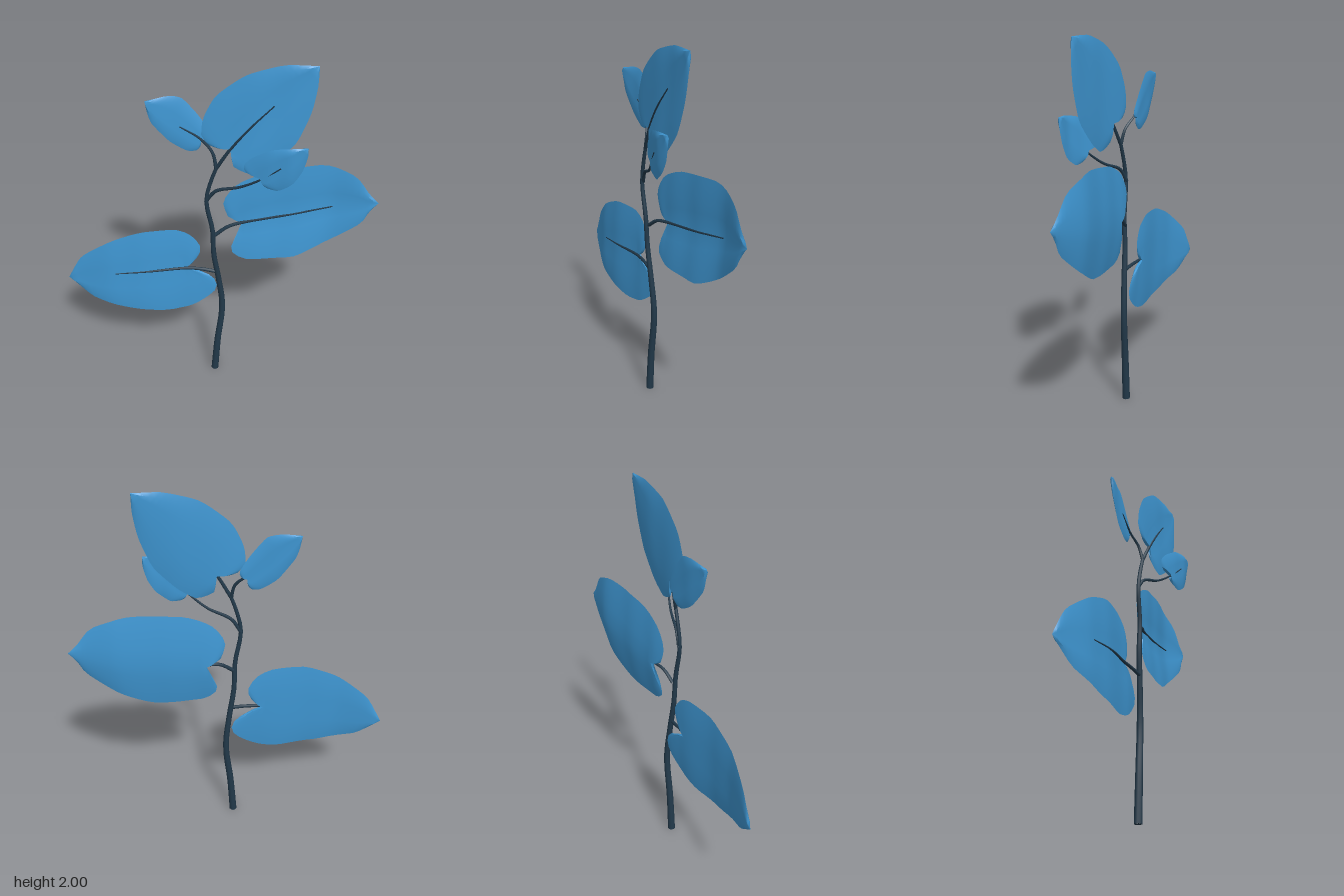
import * as THREE from 'three';
import { toCreasedNormals } from 'three/addons/utils/BufferGeometryUtils.js';

const V = (p) => new THREE.Vector3(p[0], p[1], p[2] || 0);

// Round stalk along a path, tapering from r0 to r1
function stalk(name, pts, r0, r1, material, sides = 8) {
  const curve = new THREE.CatmullRomCurve3(pts.map(V));
  const steps = 28;
  const geo = new THREE.TubeGeometry(curve, steps, 1, sides);
  const pos = geo.attributes.position, p = new THREE.Vector3();
  for (let i = 0; i <= steps; i++) {
    const c = curve.getPointAt(i / steps);
    const r = THREE.MathUtils.lerp(r0, r1, i / steps);
    for (let j = 0; j <= sides; j++) {
      const k = i * (sides + 1) + j;
      p.fromBufferAttribute(pos, k).sub(c).multiplyScalar(r).add(c);
      pos.setXYZ(k, p.x, p.y, p.z);
    }
  }
  const mesh = new THREE.Mesh(geo, material);
  mesh.name = name;
  return mesh;
}

// Piecewise-linear height of the leaf surface across x
function sampleZ(table, x) {
  if (x <= table[0][0]) return table[0][1];
  for (let i = 1; i < table.length; i++) {
    const [x0, z0] = table[i - 1], [x1, z1] = table[i];
    if (x <= x1) return THREE.MathUtils.lerp(z0, z1, THREE.MathUtils.smoothstep(x, x0, x1) * 0.5 + (x - x0) / (x1 - x0) * 0.5);
  }
  return table[table.length - 1][1];
}

// Heart-shaped blade: cross-sections from left edge over the midrib to right edge
function leaf(name, { notch, tip, left, right, z, fold }, material) {
  const rows = 26, half = 3, cols = 2 * half + 1, thick = 0.008;
  const N = V(notch), T = V(tip), axis = T.clone().sub(N);
  const edges = [left, right].map((side) =>
    new THREE.CatmullRomCurve3([notch, ...side, tip].map(V), false, 'catmullrom', 0.3).getSpacedPoints(rows));
  const along = (p) => p.clone().sub(N).dot(axis) / axis.lengthSq();
  const pos = [], index = [];
  for (const face of [1, -1]) {
    let t = 0;
    for (let i = 0; i <= rows; i++) {
      t = Math.max(t, Math.min(1, (along(edges[0][i]) + along(edges[1][i])) / 2));
      const rib = N.clone().addScaledVector(axis, t);
      for (let j = 0; j < cols; j++) {
        const s = j / half - 1, side = s < 0 ? 0 : 1;
        const p = rib.clone().lerp(edges[side][i], Math.abs(s));
        const rise = fold[side] * p.distanceTo(rib);
        const h = Math.abs(s) === 1 || i === 0 || i === rows ? 0 : thick;
        pos.push(p.x, p.y, sampleZ(z, p.x) + rise + face * h);
      }
    }
  }
  const back = (rows + 1) * cols;
  for (let i = 0; i < rows; i++) {
    for (let j = 0; j < cols - 1; j++) {
      const a = i * cols + j, b = a + 1, c = a + cols, d = c + 1;
      index.push(a, b, c, b, d, c);
      index.push(back + a, back + c, back + b, back + b, back + c, back + d);
    }
  }
  const geo = new THREE.BufferGeometry();
  geo.setAttribute('position', new THREE.Float32BufferAttribute(pos, 3));
  geo.setIndex(index);
  const mesh = new THREE.Mesh(toCreasedNormals(geo, 0.7), material);
  mesh.name = name;
  return mesh;
}

const LEAVES = {
  lowerRightLeaf: {
    notch: [-0.17, 0.77], tip: [-0.83, 0.65], fold: [0.06, -0.03],
    left: [[-0.07, 0.73], [-0.02, 0.69], [0, 0.62], [-0.05, 0.56], [-0.14, 0.5], [-0.27, 0.47], [-0.49, 0.49], [-0.69, 0.54], [-0.77, 0.6]],
    right: [[-0.12, 0.81], [-0.09, 0.88], [-0.1, 0.93], [-0.15, 0.99], [-0.23, 1.02], [-0.4, 1.01], [-0.57, 0.94], [-0.74, 0.81]],
    z: [[-0.83, 0.04], [-0.58, 0.07], [-0.42, 0.06], [-0.15, 0.01], [0, -0.02]],
    rib: [[0, 0.76, 0.02], [-0.08, 0.77, 0.02], [-0.17, 0.77, 0.025], [-0.36, 0.755, 0.06], [-0.55, 0.73, 0.075]],
  },
  middleLeftLeaf: {
    notch: [0.13, 1.07], tip: [0.82, 1.2], fold: [0.04, 0.14],
    left: [[0.06, 1.1], [0.03, 1.19], [0.05, 1.25], [0.11, 1.32], [0.25, 1.38], [0.52, 1.41], [0.69, 1.35], [0.77, 1.25]],
    right: [[0.14, 1.02], [0.13, 0.99], [0.08, 0.93], [0.07, 0.9], [0.11, 0.86], [0.17, 0.84], [0.41, 0.85], [0.59, 0.95], [0.74, 1.07], [0.78, 1.15]],
    z: [[0.03, -0.02], [0.15, -0.04], [0.35, -0.08], [0.58, -0.125], [0.82, -0.105]],
    rib: [[-0.01, 1.01, 0.02], [0.06, 1.06, 0], [0.14, 1.075, -0.028], [0.37, 1.11, -0.074], [0.59, 1.155, -0.113]],
  },
  topLeaf: {
    notch: [0.07, 1.56], tip: [0.46, 2], fold: [0, 0.08],
    left: [[0.01, 1.56], [-0.04, 1.58], [-0.07, 1.63], [-0.06, 1.72], [0, 1.84], [0.14, 1.95], [0.31, 2]],
    right: [[0.08, 1.54], [0.08, 1.47], [0.13, 1.44], [0.18, 1.43], [0.27, 1.49], [0.38, 1.61], [0.44, 1.77], [0.46, 1.9]],
    z: [[-0.08, 0.05], [0.15, 0.04], [0.3, 0.025], [0.46, 0.015]],
    rib: [[0, 1.44, 0.04], [0.07, 1.56, 0.047], [0.16, 1.68, 0.047], [0.27, 1.8, 0.036]],
  },
  smallLeftLeaf: {
    notch: [0.22, 1.44], tip: [0.44, 1.63], fold: [0.06, -0.06],
    left: [[0.15, 1.46], [0.14, 1.5], [0.18, 1.55], [0.27, 1.61], [0.37, 1.63]],
    right: [[0.23, 1.43], [0.23, 1.41], [0.25, 1.39], [0.31, 1.38], [0.38, 1.43], [0.42, 1.5], [0.44, 1.58]],
    z: [[0.14, 0.08], [0.28, 0.11], [0.36, 0.12], [0.44, 0.11]],
    rib: [[-0.05, 1.24, 0.035], [0, 1.31, 0.045], [0.12, 1.36, 0.07], [0.22, 1.43, 0.1], [0.32, 1.52, 0.125]],
  },
  smallRightLeaf: {
    notch: [-0.08, 1.57], tip: [-0.34, 1.78], fold: [0.04, -0.08],
    left: [[-0.08, 1.54], [-0.1, 1.51], [-0.15, 1.51], [-0.23, 1.56], [-0.31, 1.66], [-0.33, 1.72]],
    right: [[-0.05, 1.58], [-0.04, 1.61], [-0.06, 1.65], [-0.1, 1.71], [-0.17, 1.79], [-0.24, 1.8]],
    z: [[-0.34, 0.03], [-0.2, 0.005], [-0.05, -0.01]],
    rib: [[0, 1.44, 0.04], [-0.02, 1.52, 0.025], [-0.08, 1.58, 0.006], [-0.18, 1.645, 0.012]],
  },
};

export function createModel() {
  const model = new THREE.Group();
  const green = new THREE.MeshStandardMaterial({ color: 0x3f97d3 });
  const bark = new THREE.MeshStandardMaterial({ color: 0x22394a });

  // Main stem with a slight S bend
  const stem = [[-0.01, 0, 0.015], [0.005, 0.23, 0.012], [0.03, 0.5, 0.005], [0.01, 0.71, 0.015],
    [-0.015, 0.89, 0.025], [-0.02, 1.05, 0.032], [-0.05, 1.24, 0.04], [-0.03, 1.35, 0.04], [0, 1.44, 0.04]];
  model.add(stalk('stem', stem, 0.021, 0.009, bark, 10));
  const base = new THREE.Mesh(new THREE.CircleGeometry(0.021, 10), bark);
  base.name = 'stemBase';
  base.rotation.x = Math.PI / 2;
  base.position.set(-0.01, 0.001, 0.015);
  model.add(base);

  // Each blade with its petiole running on as the midrib
  for (const [name, spec] of Object.entries(LEAVES)) {
    const group = new THREE.Group();
    group.name = name;
    group.add(leaf('blade', spec, green), stalk('petiole', spec.rib, 0.01, 0.003, bark, 6));
    model.add(group);
  }
  return model;
}
